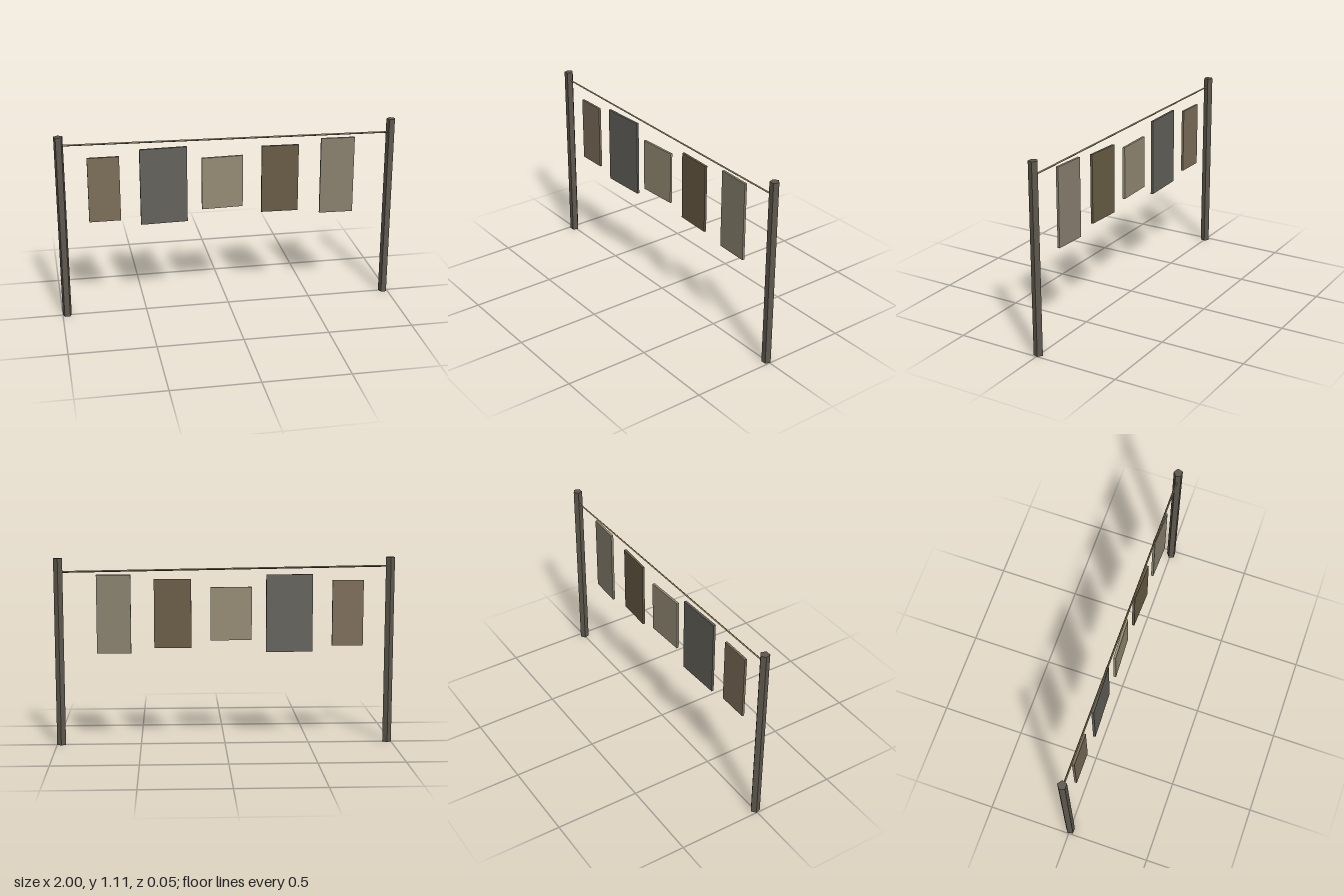
import * as THREE from 'three';

const Z = 0.0026; // offset that centres the pentagonal posts in depth

function addMesh(group, name, geometry, color) {
  const material = new THREE.MeshStandardMaterial({ color, flatShading: true });
  const mesh = new THREE.Mesh(geometry, material);
  mesh.name = name;
  group.add(mesh);
  return mesh;
}

export function createModel() {
  const group = new THREE.Group();
  group.name = 'hangingLine';

  // Five-sided posts, flat side to the front
  const height = 1.112;
  for (const [name, side] of [['leftPost', 1], ['rightPost', -1]]) {
    const post = addMesh(group, name, new THREE.CylinderGeometry(0.0275, 0.0275, height, 5), 0x5e584e);
    post.rotation.y = Math.PI;
    post.position.set(side * 0.974, height / 2, Z);
  }

  // Taut, slightly sloping rope between the posts
  const from = new THREE.Vector3(-0.974, 1.06, Z);
  const to = new THREE.Vector3(0.974, 1.031, Z);
  const along = to.clone().sub(from);
  const rope = addMesh(group, 'rope', new THREE.CylinderGeometry(0.0055, 0.0055, along.length(), 4), 0x8a7c5a);
  rope.position.copy(from).add(to).multiplyScalar(0.5);
  rope.quaternion.setFromUnitVectors(new THREE.Vector3(0, 1, 0), along.normalize());

  // Hanging cloths: centre x, width, bottom, top, small yaw, colour
  const cloths = [
    [-0.727, 0.184, 0.586, 0.976, 0, 0x7d6e5a],
    [-0.381, 0.276, 0.551, 1.011, 0.036, 0x65625b],
    [-0.036, 0.244, 0.623, 0.938, 0.042, 0x958c75],
    [0.308, 0.219, 0.578, 0.987, -0.04, 0x6a5d46],
    [0.654, 0.201, 0.548, 1.013, -0.04, 0x8a8270],
  ];
  cloths.forEach(([x, width, bottom, top, yaw, color], i) => {
    const cloth = addMesh(group, `cloth${i + 1}`, new THREE.BoxGeometry(width, top - bottom, 0.014), color);
    cloth.position.set(x, (bottom + top) / 2, Z);
    cloth.rotation.y = yaw;
  });

  return group;
}
